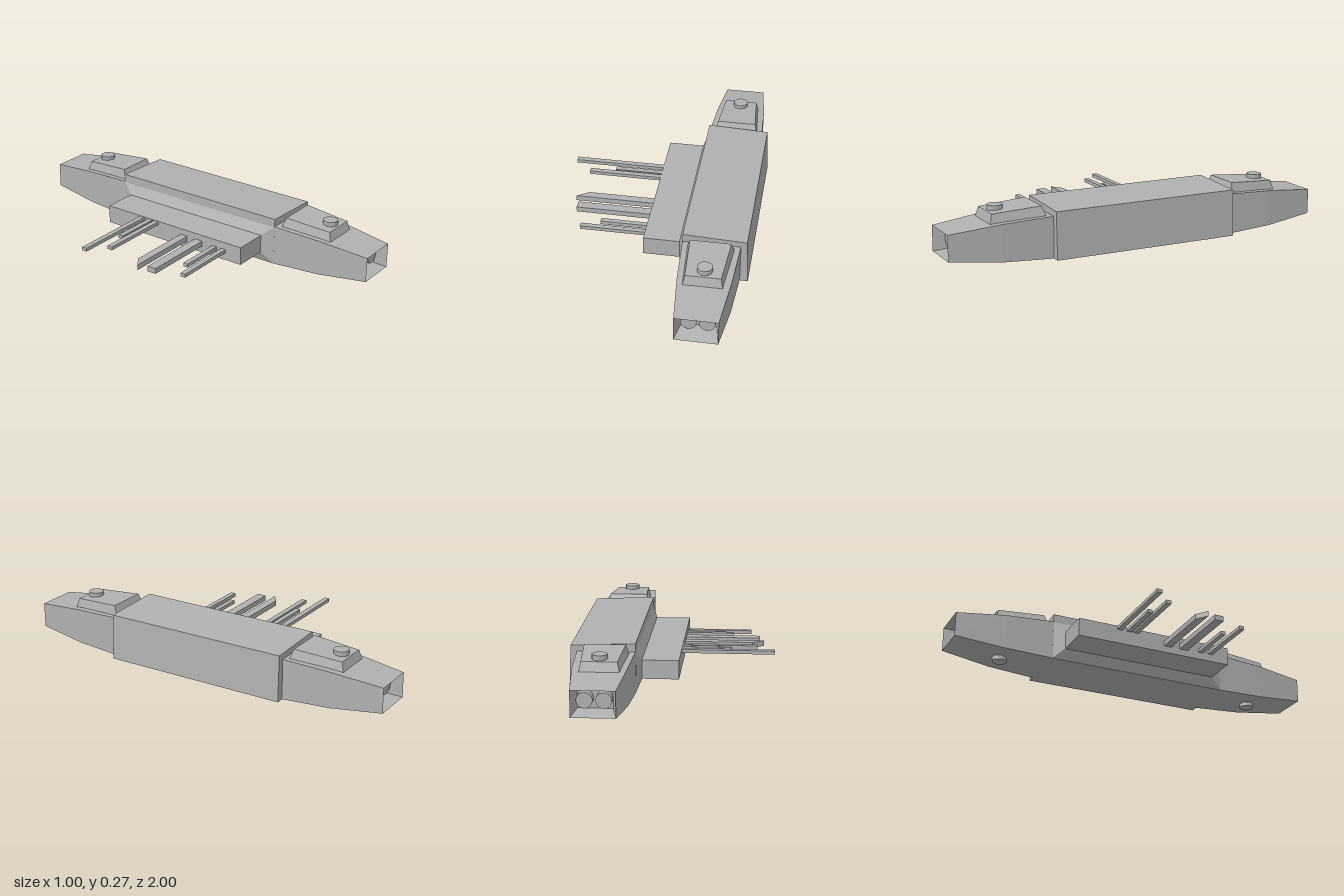
import * as THREE from 'three';

// Rectangular ring across z, x or y: four corners in cyclic order
const ringZ = (x0, x1, y0, y1, z) => [[x0, y0, z], [x1, y0, z], [x1, y1, z], [x0, y1, z]];
const ringX = (x, y0, y1, z0, z1) => [[x, y0, z0], [x, y1, z0], [x, y1, z1], [x, y0, z1]];

// Closed flat-shaded solid through a series of four-cornered rings
function loft(rings) {
  const tris = [];
  const quad = (a, b, c, d) => tris.push([a, b, c], [a, c, d]);
  const first = rings[0], last = rings[rings.length - 1];
  quad(first[3], first[2], first[1], first[0]);
  quad(...last);
  for (let r = 0; r + 1 < rings.length; r++) {
    for (let i = 0; i < 4; i++) {
      const j = (i + 1) % 4;
      quad(rings[r][i], rings[r][j], rings[r + 1][j], rings[r + 1][i]);
    }
  }
  // turn the faces outward, whichever way the rings run
  let volume = 0;
  for (const [a, b, c] of tris) {
    volume += new THREE.Vector3(...a).dot(new THREE.Vector3(...b).cross(new THREE.Vector3(...c)));
  }
  const points = tris.flatMap((t) => (volume < 0 ? [t[0], t[2], t[1]] : t));
  const geometry = new THREE.BufferGeometry();
  geometry.setAttribute('position', new THREE.Float32BufferAttribute(points.flat(), 3));
  geometry.computeVertexNormals();
  return geometry;
}

export function createModel() {
  const group = new THREE.Group();
  const hull = new THREE.MeshStandardMaterial({ color: 0xb0b0b0 });
  hull.name = 'hullGrey';

  const add = (name, geometry, parent = group) => {
    const mesh = new THREE.Mesh(geometry, hull);
    mesh.name = name;
    parent.add(mesh);
    return mesh;
  };

  // Central body with slightly sloped roof and outer wall
  const bodySection = (z) => [[0.17, 0.01, z], [0.495, 0.01, z], [0.485, 0.245, z], [0.17, 0.258, z]];
  add('centralBody', loft([bodySection(-0.49), bodySection(0.485)]));

  // Side platform, flaring out where it joins the body
  add('sidePlatform', loft([
    ringX(-0.035, 0.065, 0.16, -0.43, 0.42),
    ringX(0.146, 0.065, 0.16, -0.43, 0.42),
    ringX(0.171, 0.01, 0.215, -0.49, 0.485),
  ]));

  // Matching end sections
  for (const s of [1, -1]) {
    const end = new THREE.Group();
    end.name = s > 0 ? 'frontEnd' : 'backEnd';
    group.add(end);

    // tapered nose with a recessed opening
    add('nose', loft([
      ringZ(0.17, 0.455, 0.01, 0.217, s * 0.48),
      ringZ(0.183, 0.442, 0.022, 0.205, s * 0.74),
      ringZ(0.207, 0.415, 0.05, 0.178, s),
      ringZ(0.23, 0.395, 0.065, 0.165, s * 0.9),
    ]), end);

    // twin thrusters inside the opening
    for (const x of [0.268, 0.357]) {
      const thruster = add('thruster', new THREE.CylinderGeometry(0.038, 0.038, 0.06, 24), end);
      thruster.rotation.x = Math.PI / 2;
      thruster.position.set(x, 0.115, s * 0.915);
    }

    // raised deck housing with a sloping roof
    add('deckHousing', loft([
      [[0.195, 0.2, s * 0.505], [0.43, 0.2, s * 0.505], [0.405, 0.195, s * 0.787], [0.213, 0.195, s * 0.787]],
      [[0.212, 0.263, s * 0.527], [0.413, 0.263, s * 0.527], [0.395, 0.247, s * 0.773], [0.225, 0.247, s * 0.773]],
    ]), end);

    // round hatches above and below
    for (const [name, y] of [['topHatch', 0.257], ['bottomHatch', 0.015]]) {
      const geometry = new THREE.CylinderGeometry(0.038, 0.038, 0.03, 12).toNonIndexed();
      geometry.computeVertexNormals();
      add(name, geometry, end).position.set(0.312, y, s * 0.725);
    }
  }

  // Antenna rods: z range, tip x, y range, tip x on the far edge
  const rods = [
    [-0.22, -0.192, -0.5, 0.14, 0.158],
    [-0.165, -0.138, -0.28, 0.14, 0.158],
    [-0.128, -0.1, -0.412, 0.14, 0.158],
    [0.046, 0.088, -0.385, 0.1, 0.128, -0.445],
    [0.135, 0.183, -0.423, 0.1, 0.128],
    [0.247, 0.273, -0.28, 0.104, 0.123],
    [0.302, 0.328, -0.375, 0.104, 0.123],
  ];
  for (const [z0, z1, tip, y0, y1, farTip = tip] of rods) {
    add('antennaRod', loft([
      [[tip, y0, z0], [tip, y1, z0], [farTip, y1, z1], [farTip, y0, z1]],
      ringX(-0.03, y0, y1, z0, z1),
    ]));
  }

  return group;
}
